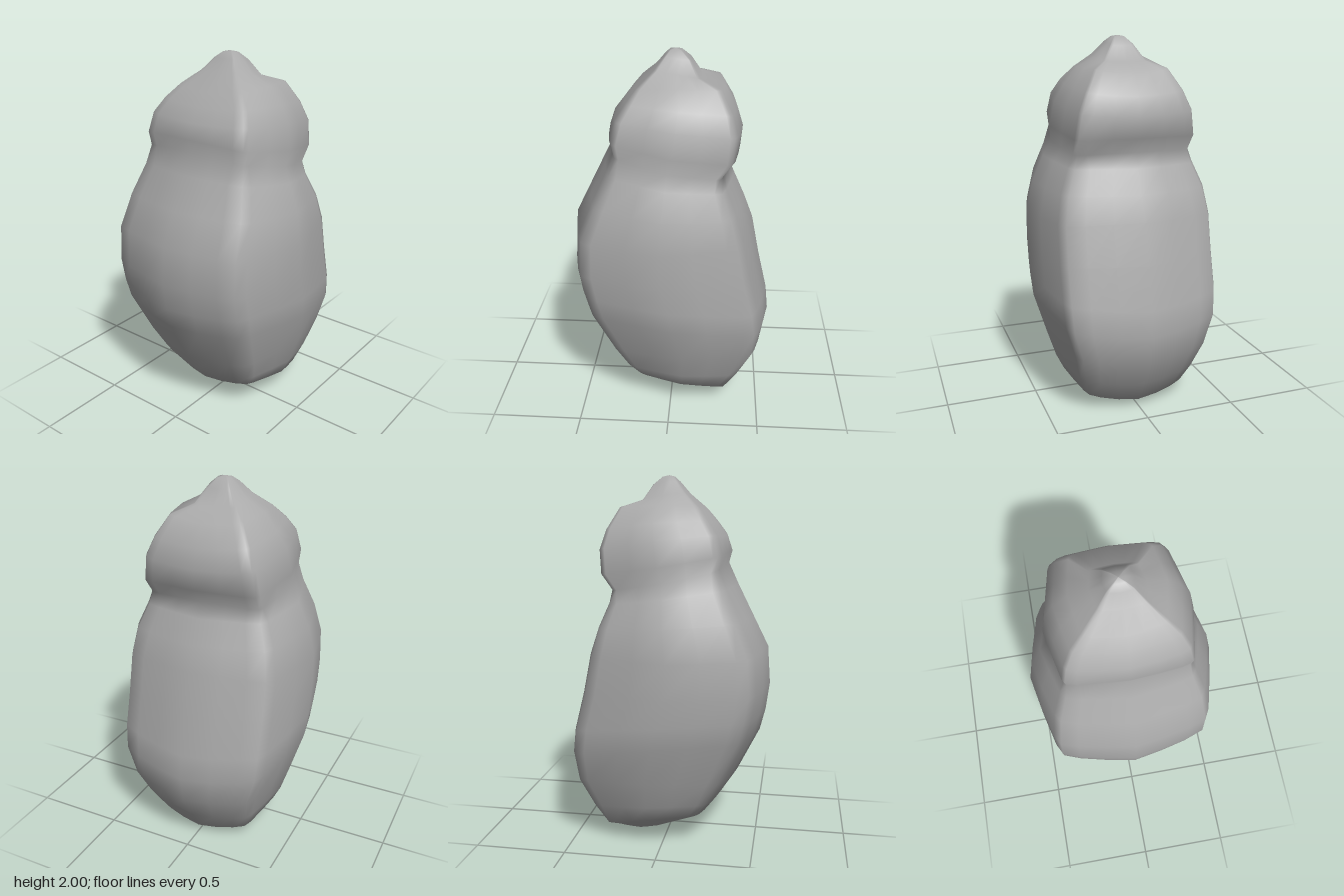
import * as THREE from 'three';

// Quarter outline of a bulging square, from front centre (0,1) to side centre (1,0)
const bodyQuarter = [[0, 1], [0.32, 0.945], [0.6, 0.885], [0.78, 0.825], [0.84, 0.71], [0.93, 0.35], [1, 0]];
const headQuarter = [[0, 1], [0.36, 0.965], [0.68, 0.92], [0.82, 0.87], [0.855, 0.8], [0.93, 0.4], [1, 0]];

// Tilted rings: [front y, front z, back y, back z, half width, side y]
const bodyRings = [
  [0.0, -0.15, 0.0, -0.15, 0, 0.0],
  [0.005, -0.09, 0.003, -0.22, 0.09, 0.005],
  [0.03, -0.02, 0.015, -0.28, 0.17, 0.025],
  [0.13, 0.23, 0.04, -0.36, 0.345, 0.15],
  [0.22, 0.3, 0.17, -0.44, 0.39, 0.24],
  [0.35, 0.385, 0.33, -0.53, 0.44, 0.39],
  [0.6, 0.51, 0.48, -0.555, 0.5, 0.6],
  [0.72, 0.54, 0.62, -0.54, 0.51, 0.72],
  [0.87, 0.56, 0.85, -0.485, 0.51, 0.87],
  [1.08, 0.545, 1.07, -0.44, 0.506, 1.06],
  [1.25, 0.46, 1.2, -0.39, 0.475, 1.23],
  [1.42, 0.375, 1.33, -0.33, 0.415, 1.37],
];
const headRings = [
  [1.53, 0.32, 1.41, -0.295, 0.375, 1.45],
  [1.6, 0.338, 1.49, -0.357, 0.383, 1.53],
  [1.68, 0.31, 1.6, -0.367, 0.36, 1.66],
  [1.75, 0.255, 1.7, -0.335, 0.31, 1.75],
  [1.81, 0.2, 1.81, -0.27, 0.235, 1.84],
  [1.9, 0.105, 1.86, -0.15, 0.135, 1.89],
  [1.965, 0.05, 1.945, -0.095, 0.075, 1.96],
  [1.993, 0.02, 1.99, -0.045, 0.035, 1.993],
  [2.0, -0.01, 2.0, -0.01, 0, 2.0],
];

// Mirror a quarter outline into a closed loop running front, left, back, right
function fullOutline(q) {
  const half = [...q, ...q.slice(0, -1).reverse().map(([u, v]) => [u, -v])];
  return [...half, ...half.slice(1, -1).reverse().map(([u, v]) => [-u, v])];
}

function loft() {
  const pos = [], index = [];
  const rings = [
    ...bodyRings.map((r) => [r, fullOutline(bodyQuarter)]),
    ...headRings.map((r) => [r, fullOutline(headQuarter)]),
  ];
  const n = rings[0][1].length;
  for (const [[yF, zF, yB, zB, w, yS], outline] of rings) {
    for (const [u, v] of outline) {
      const t = (v + 1) / 2;
      const y = yB + (yF - yB) * t + (yS - (yF + yB) / 2) * u * u;
      pos.push(w * u, Math.max(0, y), zB + (zF - zB) * t);
    }
  }
  for (let i = 0; i < rings.length - 1; i++) {
    for (let j = 0; j < n; j++) {
      const a = i * n + j, b = i * n + ((j + 1) % n);
      if (i > 0) index.push(a, b, b + n);
      if (i < rings.length - 2) index.push(a, b + n, a + n);
      else index.push(a, b, a + n);
      if (i === 0) index.push(a, b + n, a + n);
    }
  }
  const geo = new THREE.BufferGeometry();
  geo.setAttribute('position', new THREE.Float32BufferAttribute(pos, 3));
  geo.setIndex(index);
  geo.computeVertexNormals();
  return geo;
}

export function createModel() {
  const grey = new THREE.MeshStandardMaterial({ color: 0xaaaaaa });
  grey.name = 'stone grey';
  const group = new THREE.Group();
  group.name = 'roundedFigure';

  // Body, neck groove, head and top knob as one continuous skin
  const skin = new THREE.Mesh(loft(), grey);
  skin.name = 'bodyAndHead';
  group.add(skin);
  return group;
}
